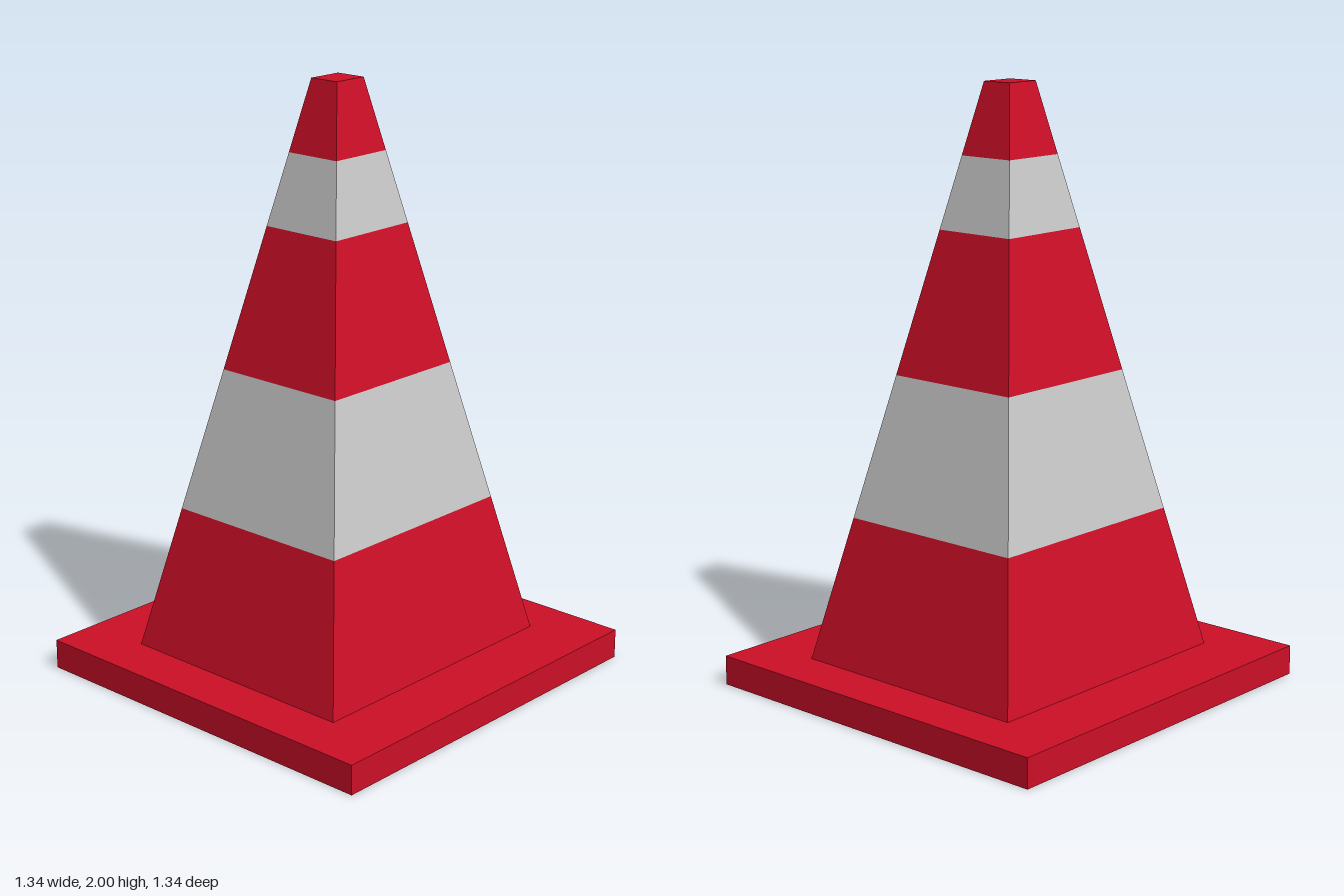
import * as THREE from 'three';

const HALF_X = [0.498, 0.062]; // half width of the tapered body at its foot and tip
const DEPTH_RATIO = 0.878;     // body is a little narrower in z than in x
const FOOT = 0.1, TIP = 2;

const halfWidth = (y) => THREE.MathUtils.mapLinear(y, FOOT, TIP, HALF_X[0], HALF_X[1]);

// Four-sided tapered ring between two heights, with flat faces
function bandGeometry(y0, y1, open) {
  const g = new THREE.CylinderGeometry(
    halfWidth(y1) * Math.SQRT2, halfWidth(y0) * Math.SQRT2, y1 - y0, 4, 1, open);
  g.rotateY(Math.PI / 4);
  g.scale(1, 1, DEPTH_RATIO);
  g.translate(0, (y0 + y1) / 2, 0);
  const flat = g.toNonIndexed();
  flat.computeVertexNormals();
  return flat;
}

export function createModel() {
  const red = new THREE.MeshStandardMaterial({ color: 0xcc0f26 });
  red.name = 'red';
  const grey = new THREE.MeshStandardMaterial({ color: 0xc8c8c8 });
  grey.name = 'light grey';

  const model = new THREE.Group();
  model.name = 'trafficCone';
  const add = (name, geometry, material) => {
    const mesh = new THREE.Mesh(geometry, material);
    mesh.name = name;
    model.add(mesh);
  };

  // Square foot plate
  const base = new THREE.BoxGeometry(1.34, FOOT, 1.34);
  base.translate(0, FOOT / 2, 0);
  add('basePlate', base, red);

  // Alternating bands up the body; only the tip is capped
  const levels = [FOOT, 0.58, 1.055, 1.528, 1.765, TIP];
  const names = ['lowerBody', 'lowerStripe', 'middleBody', 'upperStripe', 'tip'];
  names.forEach((name, i) => {
    const isTip = i === names.length - 1;
    add(name, bandGeometry(levels[i], levels[i + 1], !isTip), i % 2 ? grey : red);
  });

  return model;
}
